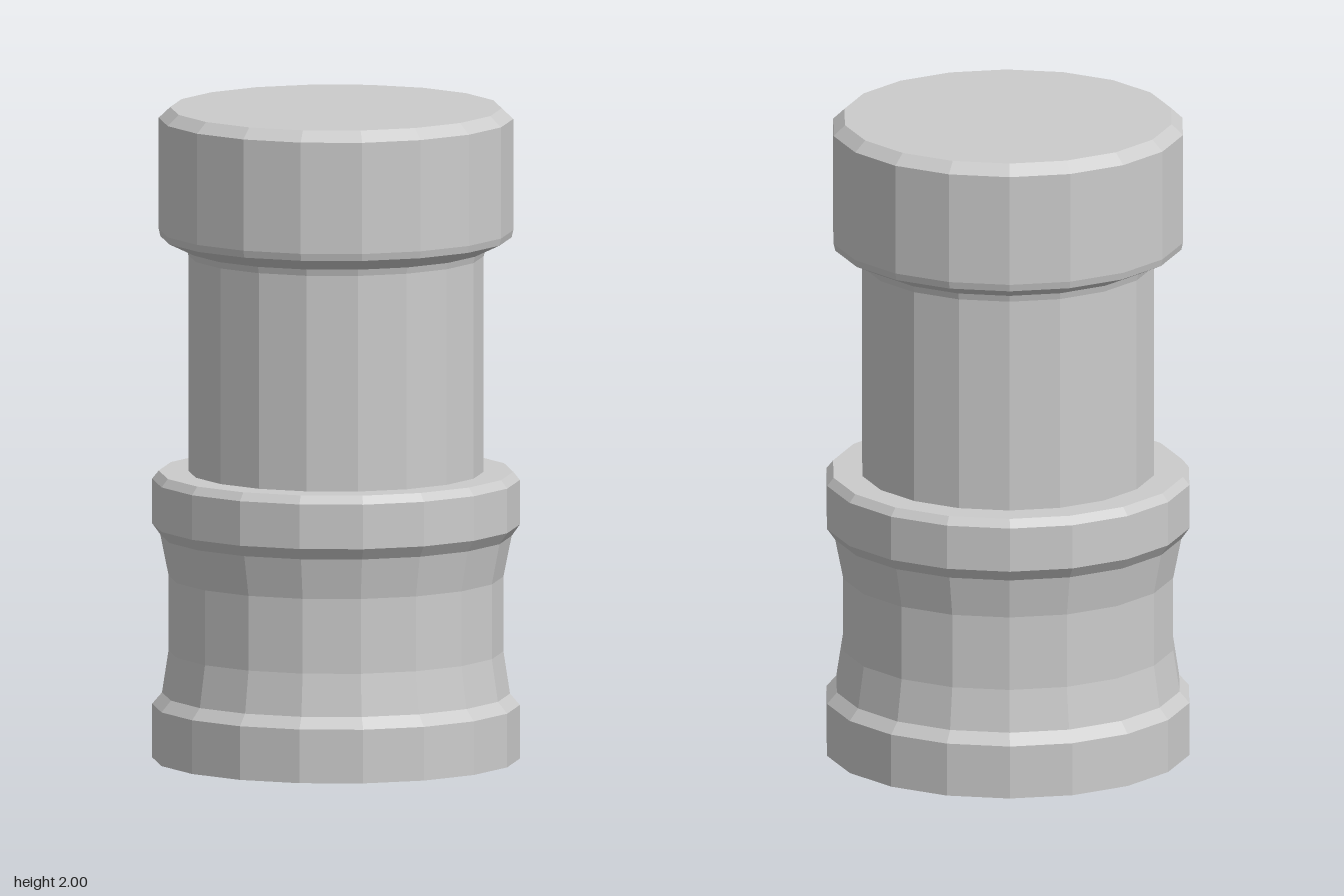
import * as THREE from 'three';

const SIDES = 18;

// Flat-shaded lathe from [radius, height] pairs, listed bottom to top
function turned(name, profile, material) {
  const points = profile.map(([r, y]) => new THREE.Vector2(r, y));
  const mesh = new THREE.Mesh(new THREE.LatheGeometry(points, SIDES), material);
  mesh.name = name;
  return mesh;
}

export function createModel() {
  const model = new THREE.Group();
  model.name = 'turnedPost';
  // Thin shell, open at the bottom
  const grey = new THREE.MeshStandardMaterial({
    color: 0xcccccc, flatShading: true, side: THREE.DoubleSide,
  });

  // Waisted sleeve with a rim at each end and a flat shoulder
  model.add(turned('base', [
    [0.56, 0], [0.56, 0.165], [0.53, 0.2], [0.51, 0.33], [0.51, 0.56],
    [0.535, 0.685], [0.56, 0.72], [0.56, 0.857], [0.54, 0.882], [0.45, 0.882],
  ], grey));

  // Straight shaft
  model.add(turned('column', [[0.45, 0.882], [0.45, 1.545], [0.455, 1.565]], grey));

  // Wide head, bevelled above and below, with a closed top
  model.add(turned('cap', [
    [0.455, 1.565], [0.535, 1.603], [0.54, 1.625], [0.54, 1.967], [0.505, 2], [0, 2],
  ], grey));

  return model;
}
